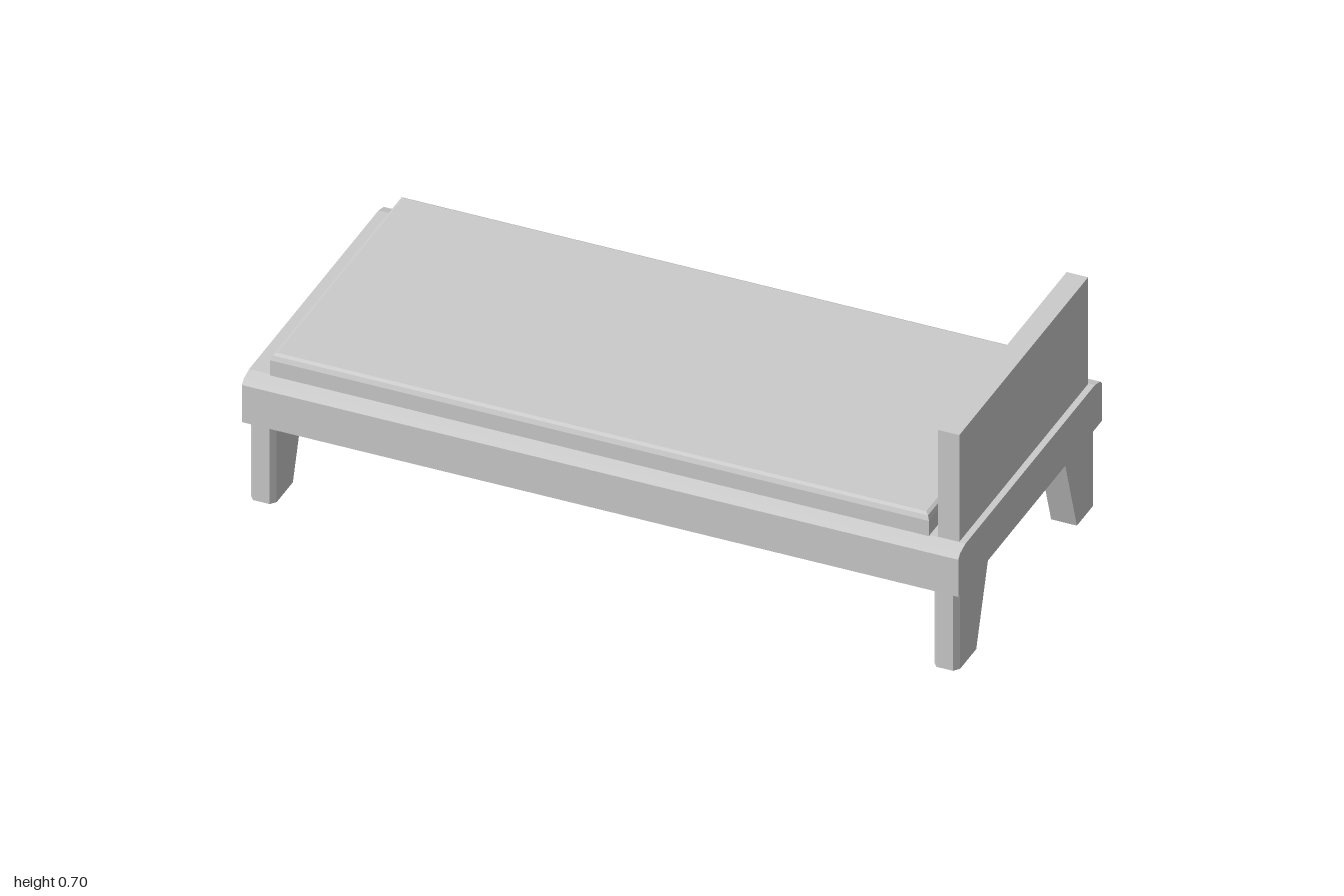
import * as THREE from 'three';

const material = new THREE.MeshStandardMaterial({ color: 0xcccccc, flatShading: true });

function addPart(group, name, geometry, x = 0, y = 0, z = 0) {
  geometry.computeVertexNormals();
  const mesh = new THREE.Mesh(geometry, material);
  mesh.name = name;
  mesh.position.set(x, y, z);
  group.add(mesh);
  return mesh;
}

const polygon = (points) => new THREE.Shape(points.map(([x, y]) => new THREE.Vector2(x, y)));

// Leg: plan with two chamfered outer corners, inner face sloping inward towards the top
function legGeometry(height) {
  const w = 0.036, c = 0.013, outer = 0.432, bottomInner = 0.315, topInner = 0.237;
  const plan = polygon([
    [-w, -outer + 0.016], [-w + c, -outer], [w - c, -outer], [w, -outer + 0.016],
    [w, -bottomInner], [-w, -bottomInner],
  ]);
  const geometry = new THREE.ExtrudeGeometry(plan, { depth: height, bevelEnabled: false });
  geometry.rotateX(-Math.PI / 2);
  const p = geometry.attributes.position;
  for (let i = 0; i < p.count; i++) {
    if (p.getZ(i) < bottomInner + 0.01 && p.getY(i) > height / 2) p.setZ(i, topInner);
  }
  return geometry;
}

// Mattress: box whose upper rows step inward to round the top edge
function mattressGeometry(length, height, depth) {
  const rows = [[0, 0], [height - 0.018, 0], [height - 0.005, 0.005], [height, 0.014]];
  const geometry = new THREE.BoxGeometry(length, 3, depth, 1, 3, 1);
  const p = geometry.attributes.position;
  for (let i = 0; i < p.count; i++) {
    const [y, inset] = rows[Math.round(p.getY(i) + 1.5)];
    p.setXYZ(i, p.getX(i) - Math.sign(p.getX(i)) * inset, y, p.getZ(i) - Math.sign(p.getZ(i)) * inset);
  }
  return geometry;
}

export function createModel() {
  const bed = new THREE.Group();
  bed.name = 'bed';
  const frameBottom = 0.242, frameTop = 0.377;

  // Frame: end profile with softened top edges, extruded along the length
  const half = [[0.45, frameBottom], [0.45, 0.355], [0.438, 0.368], [0.405, frameTop]];
  const profile = polygon([...half, ...half.map(([z, y]) => [-z, y]).reverse()]);
  const frame = new THREE.ExtrudeGeometry(profile, { depth: 2, bevelEnabled: false });
  frame.translate(0, 0, -1).rotateY(Math.PI / 2);
  addPart(bed, 'frame', frame);

  addPart(bed, 'mattress', mattressGeometry(1.84, 0.065, 0.818), -0.02, frameTop - 0.002, 0);

  // Headboard stands just inside the left end
  const headHeight = 0.702 - frameTop;
  addPart(bed, 'headboard', new THREE.BoxGeometry(0.06, headHeight, 0.806),
    0.952, frameTop + headHeight / 2, 0);

  // Four legs, turned around for the back pair
  for (const x of [-0.954, 0.954]) {
    for (const front of [true, false]) {
      const name = `${front ? 'front' : 'back'}${x > 0 ? 'Left' : 'Right'}Leg`;
      const leg = addPart(bed, name, legGeometry(frameBottom), x);
      if (!front) leg.rotation.y = Math.PI;
    }
  }
  return bed;
}
